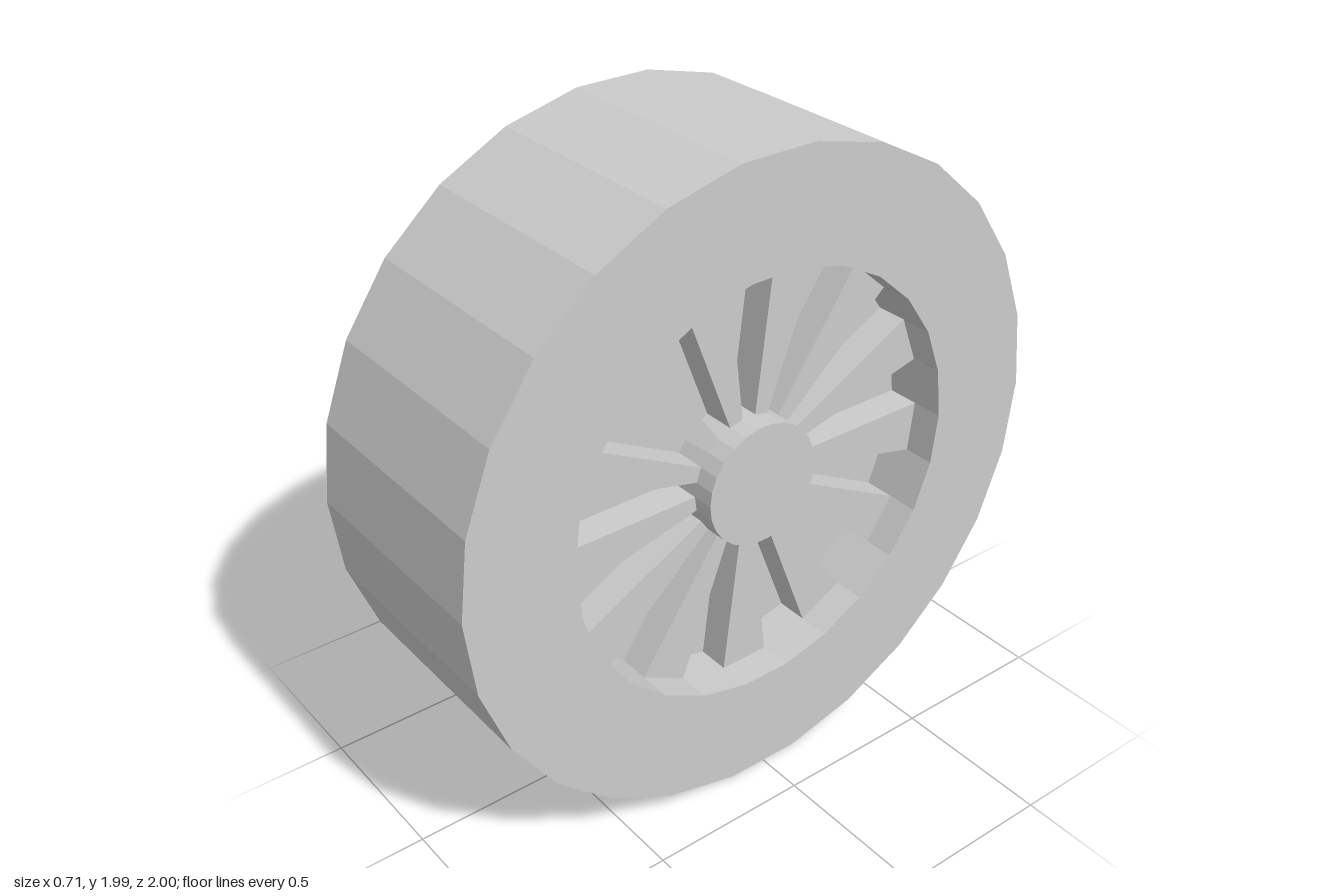
import * as THREE from 'three';

const SIDES = 26;
const HALF = Math.PI / SIDES;
const HALF_WIDTH = 0.354;
const RIM_RADIUS = 0.66;
const HUB_RADIUS = 0.19;
const FLOOR_X = 0.154; // bottom of the gaps between spokes
const SPOKE_X = 0.254; // outer face of the spokes
const HUB_X = 0.322;   // outer face of the hub

export function createModel() {
  const wheel = new THREE.Group();
  wheel.name = 'wheel';
  wheel.position.y = Math.cos(HALF);
  const material = new THREE.MeshStandardMaterial({ color: 0xcccccc, flatShading: true });

  const add = (name, geometry) => {
    const mesh = new THREE.Mesh(geometry, material);
    mesh.name = name;
    wheel.add(mesh);
    return mesh;
  };

  // Tyre with a closed back and a recess on the outer side
  const profile = [
    [0, -HALF_WIDTH], [1, -HALF_WIDTH], [1, HALF_WIDTH],
    [RIM_RADIUS, HALF_WIDTH], [RIM_RADIUS, FLOOR_X], [0, FLOOR_X],
  ].map(([r, h]) => new THREE.Vector2(r, h));
  add('tyre', new THREE.LatheGeometry(profile, SIDES).rotateZ(-Math.PI / 2));

  // Hub
  const hubDepth = HUB_X - FLOOR_X;
  const hub = new THREE.CylinderGeometry(HUB_RADIUS, HUB_RADIUS, hubDepth, SIDES);
  add('hub', hub.rotateZ(-Math.PI / 2)).position.x = FLOOR_X + hubDepth / 2;

  // Wedge spokes filling every other sector, the first pointing straight down
  const corner = (r, side) => new THREE.Vector2(side * r * Math.sin(HALF), -r * Math.cos(HALF));
  const wedge = new THREE.Shape([
    corner(HUB_RADIUS, -1), corner(RIM_RADIUS, -1), corner(RIM_RADIUS, 1), corner(HUB_RADIUS, 1),
  ]);
  const spokeGeometry = new THREE.ExtrudeGeometry(wedge, {
    depth: SPOKE_X - FLOOR_X, bevelEnabled: false,
  }).rotateY(Math.PI / 2);
  const count = SIDES / 2;
  for (let i = 0; i < count; i++) {
    const spoke = add('spoke', spokeGeometry);
    spoke.position.x = FLOOR_X;
    spoke.rotation.x = (i / count) * Math.PI * 2;
  }

  const model = new THREE.Group();
  model.name = 'model';
  model.add(wheel);
  return model;
}
